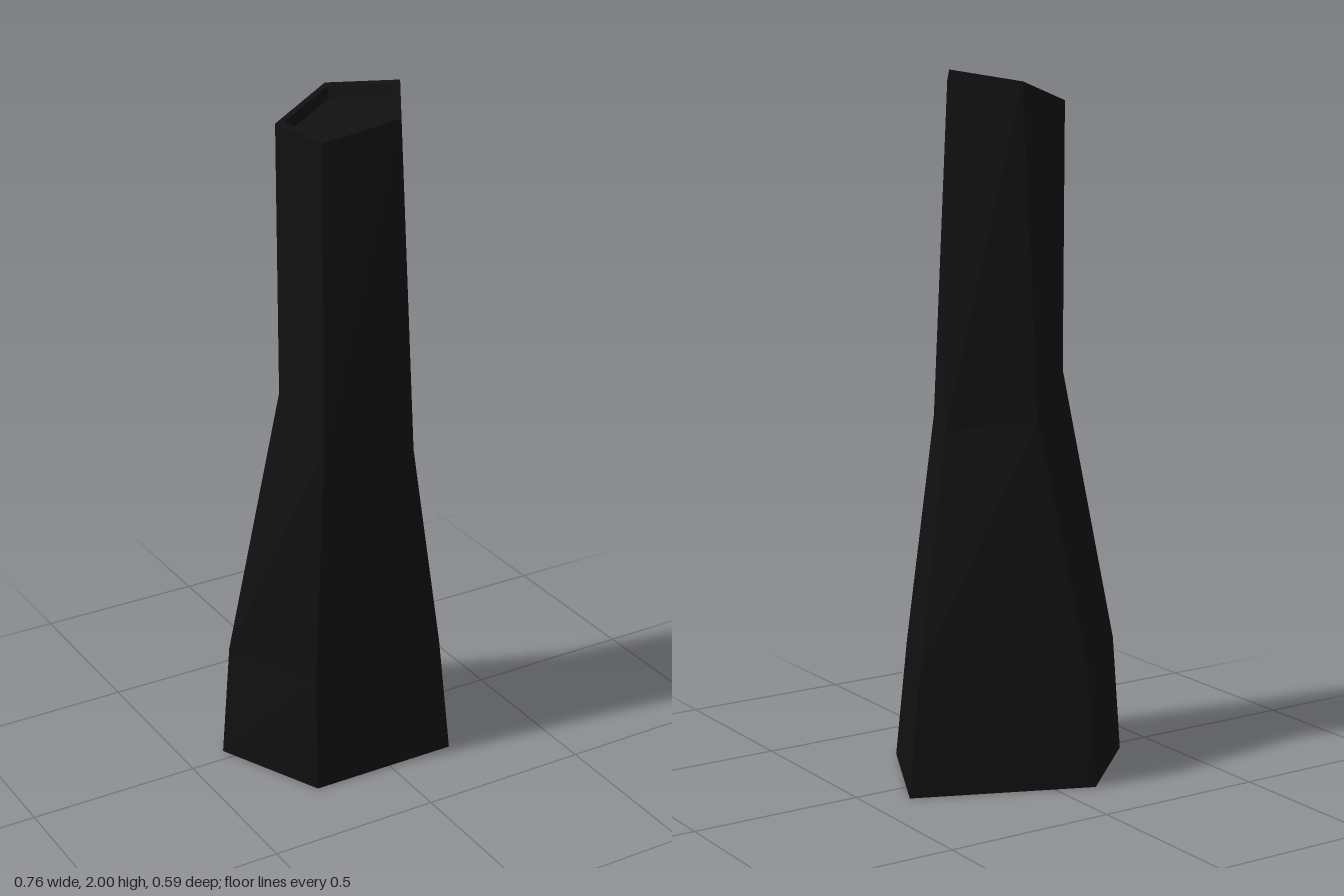
import * as THREE from 'three';

const SIDES = 5;

// Cross-sections: corners run left, back, right, front right, front left
const base = [[-0.38, 0, -0.04], [-0.11, 0, -0.295], [0.38, 0, -0.09], [0.205, 0, 0.275], [-0.24, 0, 0.275]];
const foot = [[-0.355, 0.34, -0.035], [-0.1, 0.34, -0.27], [0.335, 0.35, -0.075], [0.18, 0.35, 0.25], [-0.23, 0.34, 0.25]];
const waist = [[-0.22, 1.14, 0.035], [-0.04, 1.03, -0.105], [0.175, 1.0, 0.04], [0.065, 1.0, 0.28], [-0.2, 1.05, 0.25]];
const rim = [[-0.22, 1.91, 0.03], [-0.02, 1.97, -0.055], [0.115, 2.0, 0.11], [0.005, 1.96, 0.295], [-0.2, 1.91, 0.24]];

// Shrinks a ring towards its middle and lowers it
function inset(ring, scale, drop) {
  const mid = [0, 1, 2].map(k => ring.reduce((s, p) => s + p[k], 0) / SIDES);
  return ring.map(p => p.map((v, k) => mid[k] + (v - mid[k]) * scale - (k === 1 ? drop : 0)));
}

// Joins consecutive rings with quads
function skin(rings) {
  const out = [];
  for (let r = 0; r < rings.length - 1; r++) {
    const lo = rings[r], hi = rings[r + 1];
    for (let i = 0; i < SIDES; i++) {
      const j = (i + 1) % SIDES;
      out.push(lo[j], lo[i], hi[i], lo[j], hi[i], hi[j]);
    }
  }
  return out;
}

// Closes a ring with a fan facing up or down
function cap(ring, up) {
  const out = [];
  for (let i = 1; i < SIDES - 1; i++) {
    out.push(ring[0], ...(up ? [ring[i + 1], ring[i]] : [ring[i], ring[i + 1]]));
  }
  return out;
}

export function createModel() {
  const group = new THREE.Group();
  group.name = 'rockPillar';
  const material = new THREE.MeshStandardMaterial({ color: 0x101010, flatShading: true });

  const add = (name, points) => {
    const geometry = new THREE.BufferGeometry();
    geometry.setAttribute('position', new THREE.Float32BufferAttribute(points.flat(), 3));
    geometry.computeVertexNormals();
    const mesh = new THREE.Mesh(geometry, material);
    mesh.name = name;
    group.add(mesh);
  };

  // Faceted shaft with its flat underside
  add('shaft', [...skin([base, foot, waist, rim]), ...cap(base, false)]);

  // Slanted top: narrow lip, then a shallow sunken face
  const lip = inset(rim, 0.87, 0);
  const floor = inset(rim, 0.8, 0.03);
  add('topLip', skin([rim, lip]));
  add('topRecess', [...skin([lip, floor]), ...cap(floor, true)]);

  return group;
}
